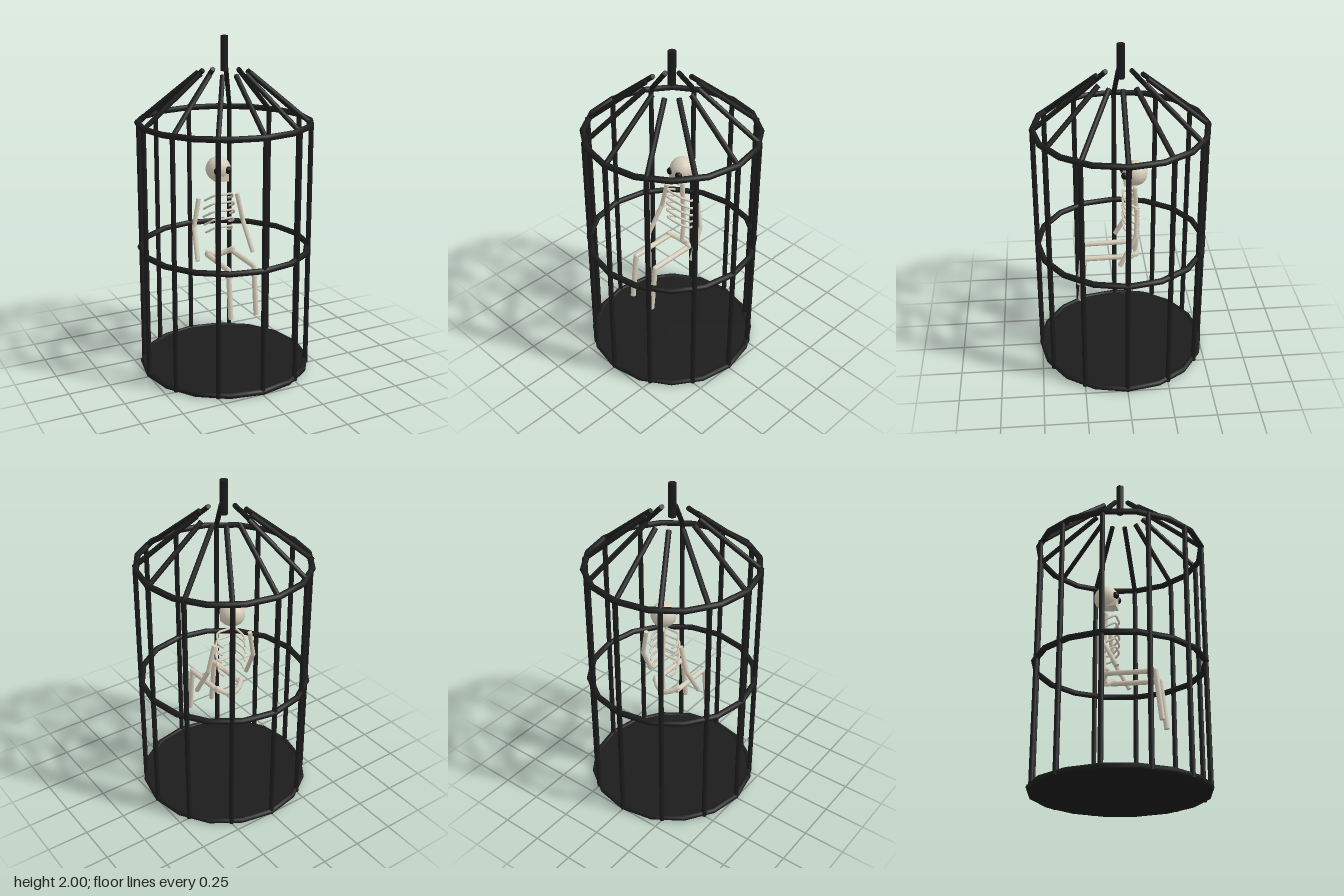
import * as THREE from 'three';

const V = (x, y, z) => new THREE.Vector3(x, y, z);

export function createModel() {
  const iron = new THREE.MeshStandardMaterial({ color: 0x1c1c1c });
  iron.name = 'black iron';
  const bone = new THREE.MeshStandardMaterial({ color: 0xd6cdba });
  bone.name = 'bone';
  const dark = new THREE.MeshStandardMaterial({ color: 0x101010 });
  dark.name = 'socket black';

  const model = new THREE.Group();
  model.name = 'hangingCage';
  const cage = new THREE.Group();
  cage.name = 'cage';
  const skeleton = new THREE.Group();
  skeleton.name = 'skeleton';
  model.add(cage, skeleton);

  function add(parent, name, geometry, material, x = 0, y = 0, z = 0) {
    const mesh = new THREE.Mesh(geometry, material);
    mesh.name = name;
    mesh.position.set(x, y, z);
    parent.add(mesh);
    return mesh;
  }

  // straight rod between two points
  function rod(parent, name, a, b, r, material, r2 = r) {
    const geometry = new THREE.CylinderGeometry(r2, r, a.distanceTo(b), 8);
    const mesh = add(parent, name, geometry, material);
    mesh.position.copy(a).lerp(b, 0.5);
    mesh.quaternion.setFromUnitVectors(V(0, 1, 0), b.clone().sub(a).normalize());
    return mesh;
  }

  // curved bone through a few points, with closed ends
  function curvedBone(name, points, r, segments) {
    const curve = new THREE.CatmullRomCurve3(points);
    add(skeleton, name, new THREE.TubeGeometry(curve, segments, r, 6), bone);
    for (const t of [0, 1]) {
      const cap = add(skeleton, name + 'End', new THREE.SphereGeometry(r, 6, 4), bone);
      cap.position.copy(curve.getPoint(t));
    }
  }

  // cage floor and hoops
  add(cage, 'floor', new THREE.CylinderGeometry(0.5, 0.5, 0.025, 16), iron, 0, 0.017, 0);
  for (const y of [0.018, 0.757, 1.508]) {
    const hoop = add(cage, 'hoop', new THREE.TorusGeometry(0.5, 0.018, 8, 16), iron, 0, y, 0);
    hoop.rotation.x = Math.PI / 2;
  }

  // upright bars and sloping roof bars
  for (let i = 0; i < 12; i++) {
    const a = (i * Math.PI) / 6;
    const at = (r, y) => V(Math.cos(a) * r, y, Math.sin(a) * r);
    rod(cage, 'uprightBar', at(0.5, 0.005), at(0.5, 1.51), 0.015, iron);
    rod(cage, 'roofBar', at(0.495, 1.508), at(0.148, 1.792), 0.015, iron);
  }
  rod(cage, 'hangingRod', V(0, 1.8, 0), V(0, 2, 0), 0.023, iron);

  // skull, jaw and eye sockets
  add(skeleton, 'skull', new THREE.SphereGeometry(0.075, 16, 12), bone, 0, 1.21, -0.083);
  add(skeleton, 'jaw', new THREE.BoxGeometry(0.08, 0.05, 0.06), bone, 0, 1.168, -0.047);
  for (const s of [-1, 1]) {
    add(skeleton, 'eyeSocket', new THREE.SphereGeometry(0.022, 10, 8), dark, s * 0.034, 1.21, -0.021);
  }

  // spine and pelvis
  curvedBone('spine', [V(0, 1.105, -0.085), V(0, 0.97, -0.093), V(0, 0.83, -0.1), V(0, 0.675, -0.088)], 0.015, 8);
  curvedBone('pelvis', [
    V(-0.085, 0.705, -0.055), V(-0.05, 0.68, -0.085), V(0, 0.667, -0.098),
    V(0.05, 0.68, -0.085), V(0.085, 0.705, -0.055),
  ], 0.017, 8);

  // ribs: front high, ends sweeping down to the back
  [0.088, 0.097, 0.1, 0.094, 0.082].forEach((w, i) => {
    const y = 1.066 - i * 0.05;
    const half = [V(0.65, 0, -0.018), V(0.87, -0.02, -0.045), V(1, -0.038, -0.075), V(0.87, -0.048, -0.1)];
    const side = (s) => half.map((p) => V(s * p.x * w, y + p.y, p.z));
    curvedBone('rib', [...side(-1).reverse(), V(0, y, -0.014), ...side(1)], 0.007, 16);
  });

  // arms and legs
  for (const s of [-1, 1]) {
    const elbow = V(s * 0.163, 0.87, -0.075);
    const knee = V(s * 0.083, 0.684, 0.222);
    rod(skeleton, 'upperArm', V(s * 0.128, 1.04, -0.085), elbow, 0.014, bone);
    rod(skeleton, 'forearm', elbow, V(s * 0.184, 0.69, 0.02), 0.014, bone);
    rod(skeleton, 'thigh', V(s * 0.083, 0.69, -0.07), knee, 0.016, bone);
    rod(skeleton, 'shin', knee, V(s * 0.083, 0.39, 0.255), 0.016, bone);
    add(skeleton, 'elbow', new THREE.SphereGeometry(0.014, 8, 6), bone).position.copy(elbow);
    add(skeleton, 'knee', new THREE.SphereGeometry(0.016, 8, 6), bone).position.copy(knee);
  }

  return model;
}
